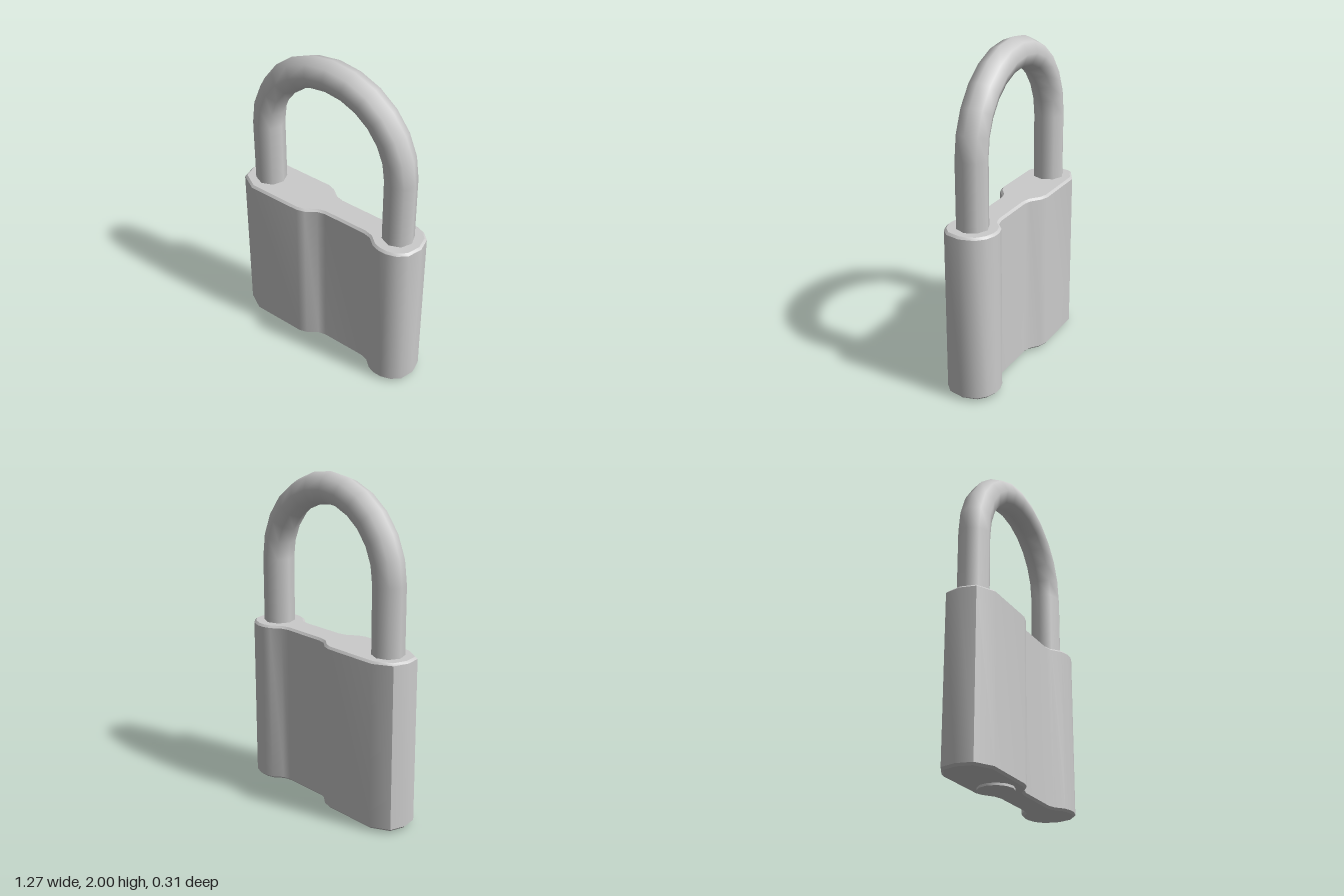
import * as THREE from 'three';
import { toCreasedNormals } from 'three/addons/utils/BufferGeometryUtils.js';

export function createModel() {
  const model = new THREE.Group();
  const grey = new THREE.MeshStandardMaterial({ color: 0xcccccc });
  const add = (name, geometry, x = 0, y = 0, z = 0) => {
    const mesh = new THREE.Mesh(geometry, grey);
    mesh.name = name;
    mesh.position.set(x, y, z);
    model.add(mesh);
    return mesh;
  };

  // Body: one half of the waisted outline (x, z), mirrored, then extruded upwards
  const half = [
    [-0.61, 0.095], [-0.5, 0.155], [-0.15, 0.155], [-0.1, 0.14], [-0.04, 0.095], [0.01, 0.083],
    [0.295, 0.083], [0.345, 0.095], [0.4, 0.14], [0.45, 0.155], [0.5, 0.155], [0.56, 0.135], [0.61, 0.09],
  ];
  const outline = [
    [-0.633, 0], ...half.map(([x, z]) => [x, -z]),
    [0.633, 0], ...half.slice().reverse(),
  ].map(([x, z]) => new THREE.Vector2(x, z));
  const bevel = 0.013, bottom = 0.014, top = 1.03;
  const body = new THREE.ExtrudeGeometry(new THREE.Shape(outline), {
    depth: top - bottom - 2 * bevel,
    bevelThickness: bevel, bevelSize: bevel, bevelOffset: -bevel, bevelSegments: 1,
  });
  body.rotateX(-Math.PI / 2);
  add('body', toCreasedNormals(body, 0.75), 0, bottom + bevel, 0);

  // Shackle: half ring on two straight legs that sink into the body
  const span = 0.475, rod = 0.095, shoulder = 1.43, sunk = 0.95;
  add('shackleArch', new THREE.TorusGeometry(span, rod, 8, 12, Math.PI), 0, shoulder, 0);
  for (const [name, side] of [['leftShackleLeg', 1], ['rightShackleLeg', -1]]) {
    add(name, new THREE.CylinderGeometry(rod, rod, shoulder - sunk, 8),
      side * span, (shoulder + sunk) / 2, 0);
  }

  // Lock cylinder face under the body
  add('lockCylinder', new THREE.CylinderGeometry(0.105, 0.105, 0.03, 12), -0.19, 0.015, 0);

  return model;
}
